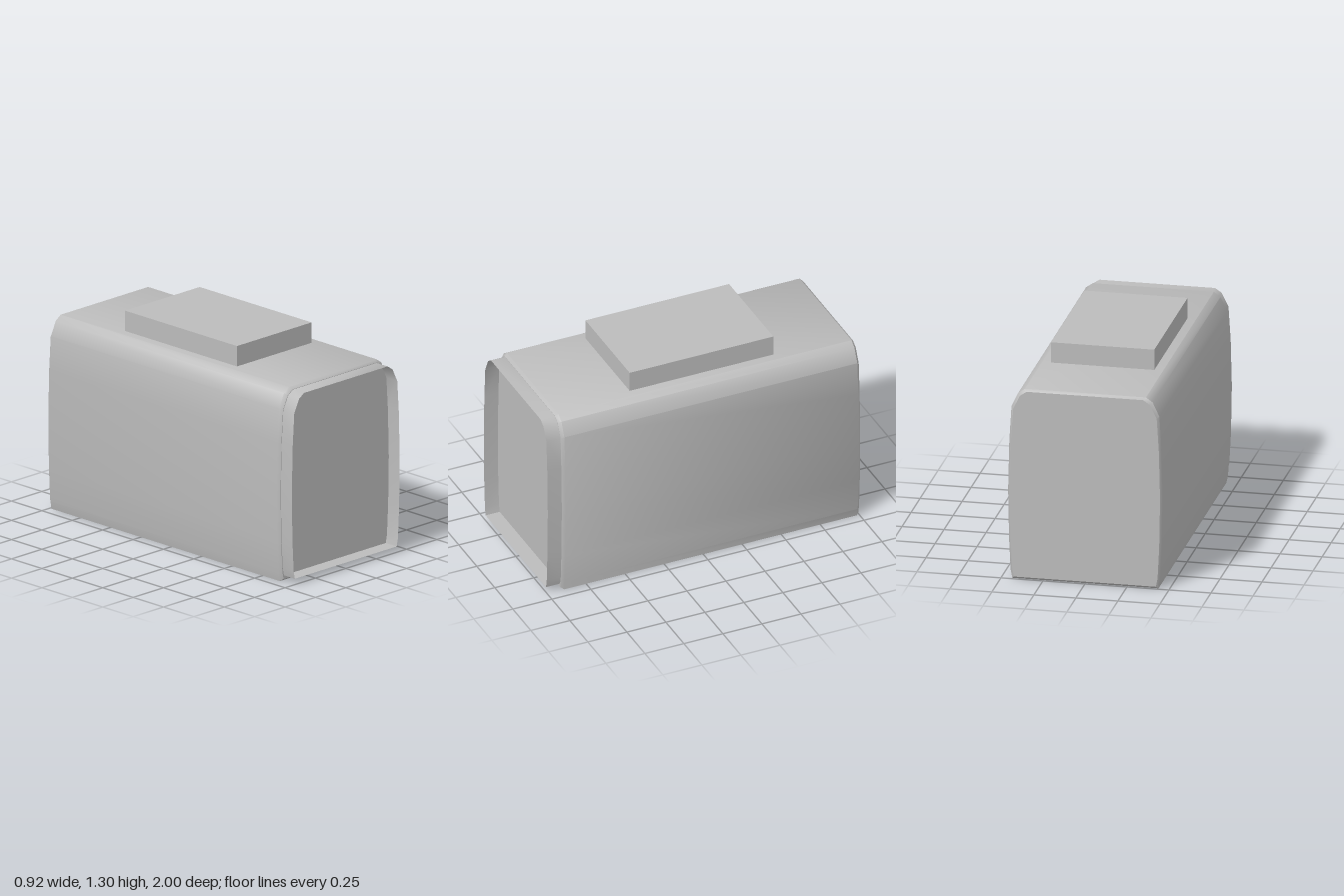
import * as THREE from 'three';
import { toCreasedNormals } from 'three/addons/utils/BufferGeometryUtils.js';

// Right half of the housing cross-section, bottom to top
const HALF = [
  [0.435, 0], [0.445, 0.05], [0.455, 0.25], [0.46, 0.55],
  [0.453, 0.85], [0.44, 1.06], [0.4, 1.145], [0.36, 1.173],
];
const MID = 0.5865;

// Closed cross-section, counter-clockwise from the front; dx and dy shrink it
function section(dx, bottom, top) {
  const half = HALF.map(([x, y]) => [
    x - dx, bottom + (y / (2 * MID)) * (top - bottom),
  ]);
  return [...half, ...half.slice().reverse().map(([x, y]) => [-x, y])];
}

// Skin through rings ordered front to back: { z, points }
function loft(rings, crease) {
  const n = rings[0].points.length;
  const positions = rings.flatMap(r => r.points.flatMap(([x, y]) => [x, y, r.z]));
  const index = [];
  for (let i = 0; i < rings.length - 1; i++) {
    for (let j = 0; j < n; j++) {
      const k = (j + 1) % n;
      const a = i * n + j, b = i * n + k, c = a + n, d = b + n;
      index.push(a, c, b, b, c, d);
    }
  }
  const g = new THREE.BufferGeometry();
  g.setAttribute('position', new THREE.Float32BufferAttribute(positions, 3));
  g.setIndex(index);
  return toCreasedNormals(g, crease);
}

function endPanel(points, z, facingBack) {
  const shape = new THREE.Shape(points.map(([x, y]) => new THREE.Vector2(x, y)));
  const g = new THREE.ShapeGeometry(shape);
  if (facingBack) g.rotateY(Math.PI);
  g.translate(0, 0, z);
  return g;
}

export function createModel() {
  const model = new THREE.Group();
  model.name = 'housing';
  const grey = new THREE.MeshStandardMaterial({ color: 0xbcbcbc, side: THREE.DoubleSide });
  grey.name = 'grey';

  const add = (name, geometry) => {
    const mesh = new THREE.Mesh(geometry, grey);
    mesh.name = name;
    model.add(mesh);
    return mesh;
  };

  // Long shell with small bevels at both ends
  const full = section(0, 0, 1.173);
  const inset = section(0.013, 0.014, 1.16);
  add('shell', loft([
    { z: 0.91, points: inset },
    { z: 0.892, points: full },
    { z: -0.985, points: full },
    { z: -1, points: inset },
  ], 0.8));
  add('frontPanel', endPanel(inset, 0.91, false));
  add('backPanel', endPanel(inset, -1, true));

  // Thin open rim standing out around the front panel
  const rim = section(0.016, 0.036, 1.158);
  add('frontRim', loft([{ z: 1, points: rim }, { z: 0.9, points: rim }], 0.8));

  // Flat block on top
  add('topBlock', new THREE.BoxGeometry(0.614, 0.14, 0.92)).position.set(0, 1.228, -0.048);

  return model;
}
